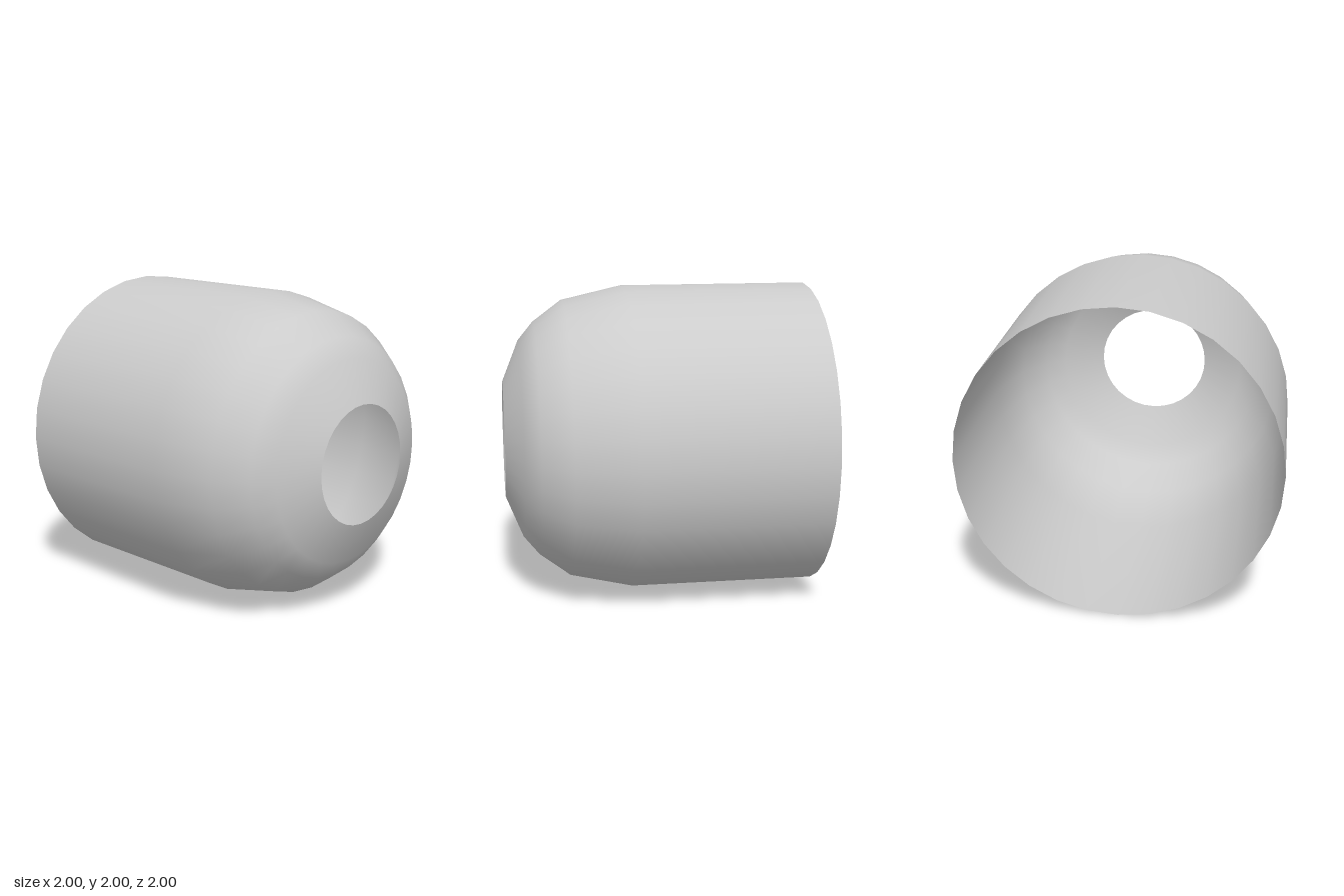
import * as THREE from 'three';

export function createModel() {
  const group = new THREE.Group();
  group.name = 'domedSleeve';

  // Profile as [radius, z], from the open back rim to the front hole
  const profile = [
    [1, -1], [1, 0.2], [0.91, 0.6], [0.77, 0.79], [0.65, 0.89], [0.38, 1],
  ].map(([r, z]) => new THREE.Vector2(r, z));

  // Thin open shell, turned so its axis runs along z
  const geometry = new THREE.LatheGeometry(profile, 32);
  geometry.rotateX(Math.PI / 2);
  geometry.translate(0, 1, 0);

  const shell = new THREE.Mesh(
    geometry,
    new THREE.MeshStandardMaterial({ color: 0xcccccc, side: THREE.DoubleSide }),
  );
  shell.name = 'shell';
  group.add(shell);
  return group;
}
